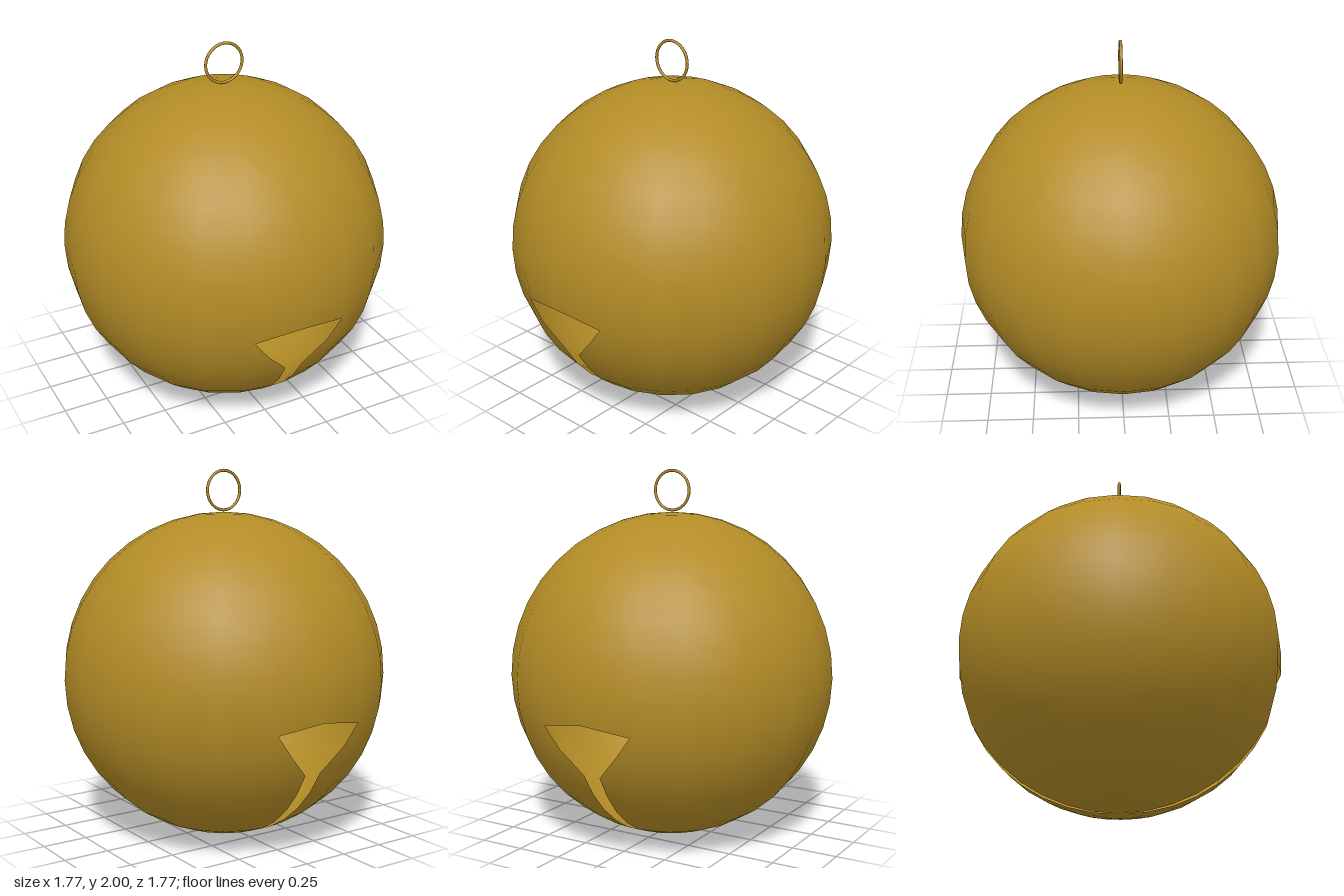
import * as THREE from 'three';

const R = 0.885;
const ROWS = 20, COLS = 10;
const OPENING_ROW = 11; // row carrying the top edge of each flared opening
const rad = THREE.MathUtils.degToRad;

// Polar and azimuth angles (degrees) of a grid point on one half of the shell.
// Azimuth runs from the front slit (0) to the back slit (180).
function shellAngles(row, col) {
  let polar = row * 9;
  const end = Math.min(col, COLS - col); // 0 at the slit edge
  let fromSlit = end * 18;
  if (row === OPENING_ROW && end === 0) polar = 97.8; // peak of the opening
  if (row === OPENING_ROW && end === 1) { polar = 100.4; fromSlit = 17; } // corner
  if (row === OPENING_ROW + 1 && end === 0) fromSlit = 11.5; // flare side
  if (row > OPENING_ROW + 1 && end === 0) fromSlit = 3.4; // narrow slit
  return [rad(polar), rad(col <= COLS / 2 ? fromSlit : 180 - fromSlit)];
}

// Half of the hollow shell, open along its slit edges
function halfShellGeometry() {
  const positions = [], normals = [], index = [];
  for (let i = 0; i <= ROWS; i++) {
    for (let j = 0; j <= COLS; j++) {
      const [t, p] = shellAngles(i, j);
      const n = [Math.sin(t) * Math.sin(p), Math.cos(t), Math.sin(t) * Math.cos(p)];
      normals.push(...n);
      positions.push(...n.map(v => v * R));
    }
  }
  for (let i = 0; i < ROWS; i++) {
    for (let j = 0; j < COLS; j++) {
      const a = i * (COLS + 1) + j, b = a + COLS + 1, c = b + 1, d = a + 1;
      if (i === OPENING_ROW && j === 0) index.push(b, c, d);
      else if (i === OPENING_ROW && j === COLS - 1) index.push(a, b, c);
      else {
        if (i < ROWS - 1) index.push(a, b, c);
        else index.push(a, b, d);
        if (i > 0 && i < ROWS - 1) index.push(a, c, d);
      }
    }
  }
  const g = new THREE.BufferGeometry();
  g.setAttribute('position', new THREE.Float32BufferAttribute(positions, 3));
  g.setAttribute('normal', new THREE.Float32BufferAttribute(normals, 3));
  g.setIndex(index);
  return g;
}

export function createModel() {
  const model = new THREE.Group();
  model.name = 'jingleBell';
  const brass = new THREE.MeshStandardMaterial({ color: 0xb38c26, side: THREE.DoubleSide });
  brass.name = 'brass';

  const add = (name, geometry, y) => {
    const mesh = new THREE.Mesh(geometry, brass);
    mesh.name = name;
    mesh.position.y = y;
    model.add(mesh);
    return mesh;
  };

  // Shell: two identical halves either side of the slit
  const half = halfShellGeometry();
  add('leftShell', half, R);
  add('rightShell', half, R).rotation.y = Math.PI;

  // Loose ball resting inside
  add('innerBall', new THREE.SphereGeometry(0.172, 20, 20), 0.183);

  // Hanging loop
  add('hangingRing', new THREE.TorusGeometry(0.106, 0.008, 8, 32), 1.886);

  return model;
}
